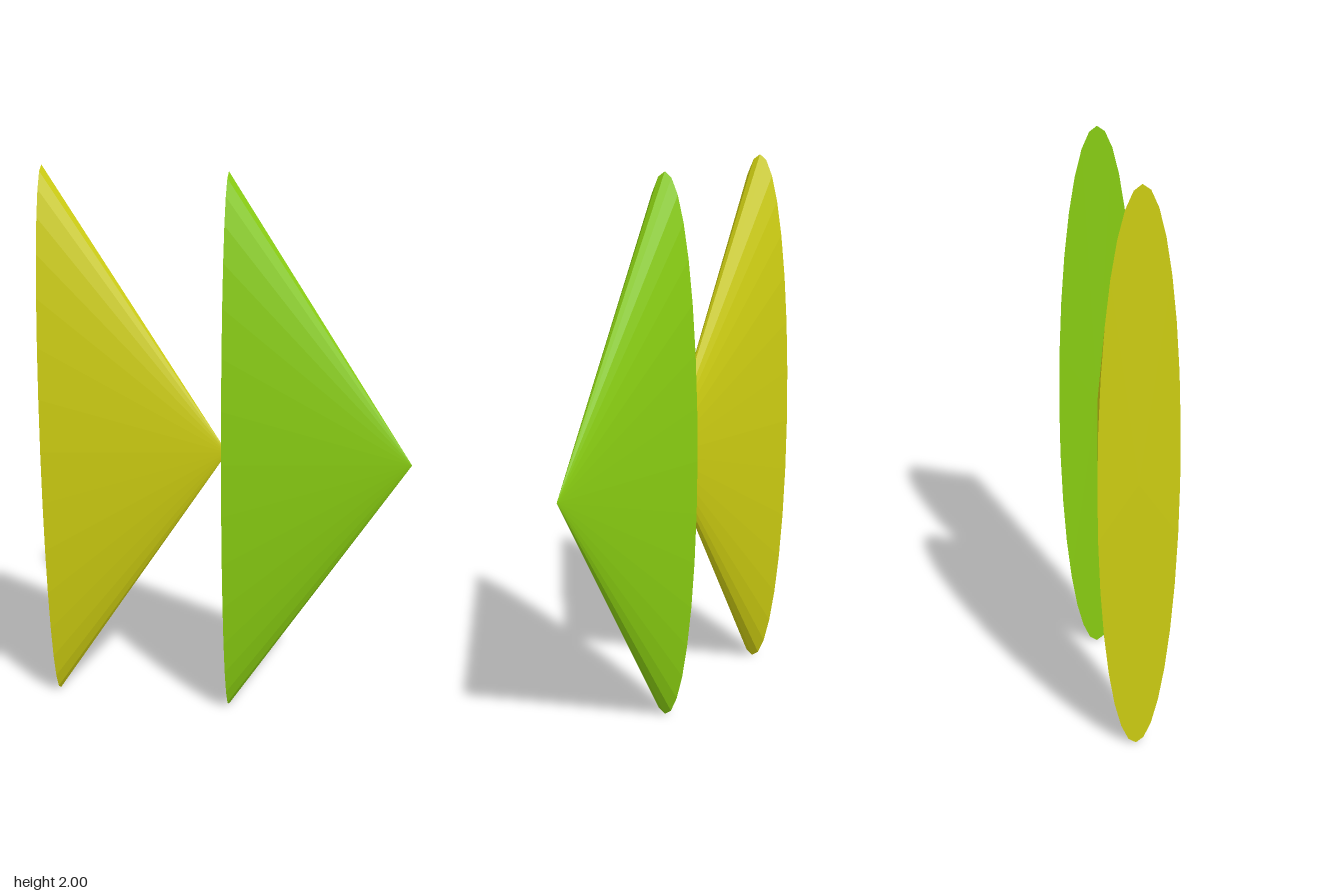
import * as THREE from 'three';

// Flattened cone lying on its side, base at x = 0 and tip toward +x
function flatCone(name, color, baseX) {
  const length = 0.65;
  const geometry = new THREE.ConeGeometry(1, length, 32);
  geometry.rotateZ(-Math.PI / 2);
  geometry.scale(1, 1, 0.136);
  geometry.translate(length / 2, 0, 0);
  const material = new THREE.MeshStandardMaterial({ color, flatShading: true });
  const mesh = new THREE.Mesh(geometry, material);
  mesh.name = name;
  mesh.position.set(baseX, 1, 0);
  return mesh;
}

export function createModel() {
  const group = new THREE.Group();
  group.name = 'doubleArrow';
  // Rear and front arrowheads, pointing the same way
  group.add(flatCone('rearArrowhead', 0xcccc11, -0.653));
  group.add(flatCone('frontArrowhead', 0x88cc11, 0.003));
  return group;
}
